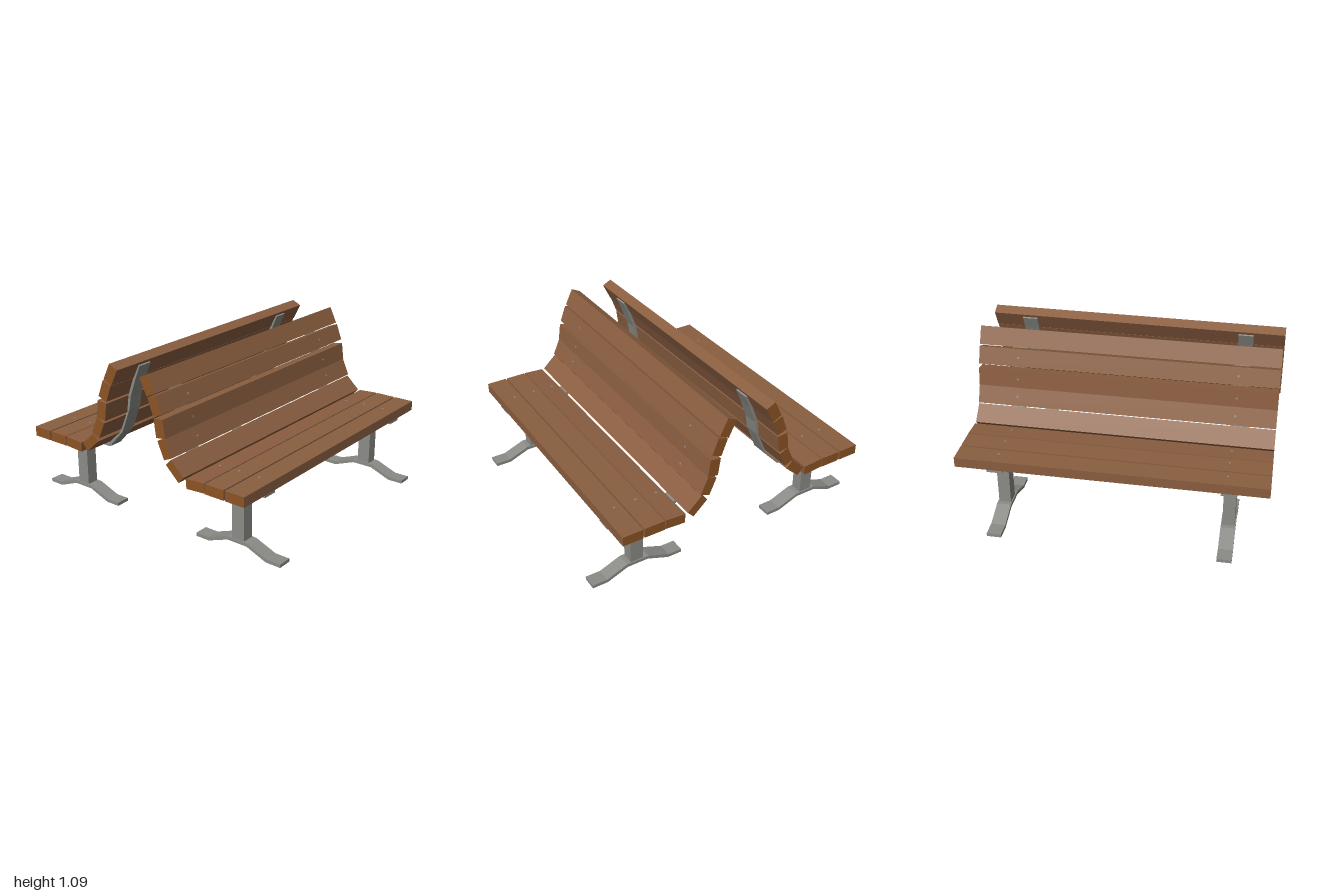
import * as THREE from 'three';

const wood = new THREE.MeshStandardMaterial({ name: 'wood', color: 0x8a5e40 });
const endGrain = new THREE.MeshStandardMaterial({ name: 'endGrain', color: 0x8c5424 });
const metal = new THREE.MeshStandardMaterial({ name: 'metal', color: 0x8b8c87 });

// slats: centre z, centre y, tilt in degrees, width, thickness, has bolts
const SLATS = [
  [0.811, 0.476, 0, 0.138, 0.066, true],
  [0.662, 0.476, 0, 0.138, 0.066, true],
  [0.519, 0.473, -4, 0.138, 0.064, true],
  [0.363, 0.524, 43, 0.132, 0.06, false],
  [0.286, 0.643, 66, 0.122, 0.066, true],
  [0.249, 0.767, 82, 0.12, 0.072, true],
  [0.214, 0.902, 69, 0.118, 0.07, true],
  [0.159, 1.019, 64, 0.122, 0.07, false],
];

// undersides of the bent flat bars, as [z, y] from front to back
const SUPPORT = [[0.875, 0.423], [0.392, 0.423], [0.272, 0.553], [0.238, 0.635],
  [0.202, 0.725], [0.185, 0.82], [0.138, 0.947], [0.1, 1.035]];
const FOOT = [[0.99, 0], [0.885, 0], [0.74, 0.057], [0.595, 0.057], [0.445, 0], [0.345, 0]];

// flat bar of even thickness following a bent path, extruded across x
function bentBar(path, thickness, width) {
  const pts = path.map(([z, y]) => new THREE.Vector2(z, y));
  const normal = (a, b) => {
    const d = b.clone().sub(a).normalize();
    return new THREE.Vector2(d.y, -d.x);
  };
  const upper = pts.map((p, i) => {
    const n0 = normal(pts[Math.max(i - 1, 0)], pts[Math.max(i, 1)]);
    const last = pts.length - 1;
    const n1 = normal(pts[Math.min(i, last - 1)], pts[Math.min(i + 1, last)]);
    const mitre = n0.clone().add(n1).normalize();
    return p.clone().addScaledVector(mitre, thickness / mitre.dot(n0));
  });
  const shape = new THREE.Shape([...pts, ...upper.reverse()]);
  const geo = new THREE.ExtrudeGeometry(shape, { depth: width, bevelEnabled: false });
  return geo.translate(0, 0, -width / 2).rotateY(-Math.PI / 2);
}

function addMesh(parent, name, geometry, material, x = 0, y = 0, z = 0) {
  const mesh = new THREE.Mesh(geometry, material);
  mesh.name = name;
  mesh.position.set(x, y, z);
  parent.add(mesh);
  return mesh;
}

function createBench(name) {
  const bench = new THREE.Group();
  bench.name = name;

  // wooden slats with lighter end grain and small bolt heads
  const boltGeo = new THREE.CylinderGeometry(0.008, 0.008, 0.004, 8);
  SLATS.forEach(([z, y, tilt, width, thickness, bolted], i) => {
    const slat = new THREE.Group();
    slat.name = i < 3 ? 'seatSlat' : 'backSlat';
    slat.position.set(-0.004, y, z);
    slat.rotation.x = THREE.MathUtils.degToRad(tilt);
    addMesh(slat, 'plank', new THREE.BoxGeometry(1.99, thickness, width),
      [endGrain, endGrain, wood, wood, wood, wood]);
    if (bolted) {
      for (const side of [-1, 1]) {
        addMesh(slat, 'bolt', boltGeo, metal, side * 0.728, thickness / 2, i < 3 ? -0.022 : 0);
      }
    }
    bench.add(slat);
  });

  // metal frames: curved support, post and splayed foot
  const supportGeo = bentBar(SUPPORT, 0.019, 0.1);
  const footGeo = bentBar(FOOT, 0.022, 0.095);
  const postGeo = new THREE.BoxGeometry(0.08, 0.348, 0.09);
  for (const side of [-1, 1]) {
    const frame = new THREE.Group();
    frame.name = side < 0 ? 'rightFrame' : 'leftFrame';
    frame.position.x = side * 0.741;
    addMesh(frame, 'support', supportGeo, metal);
    addMesh(frame, 'post', postGeo, metal, 0, 0.251, 0.67);
    addMesh(frame, 'foot', footGeo, metal);
    bench.add(frame);
  }
  return bench;
}

export function createModel() {
  const model = new THREE.Group();
  model.name = 'backToBackBenches';
  const rear = createBench('rearBench');
  // rear bench stands very slightly askew
  rear.rotation.y = Math.PI + 0.01;
  model.add(createBench('frontBench'), rear);
  return model;
}
